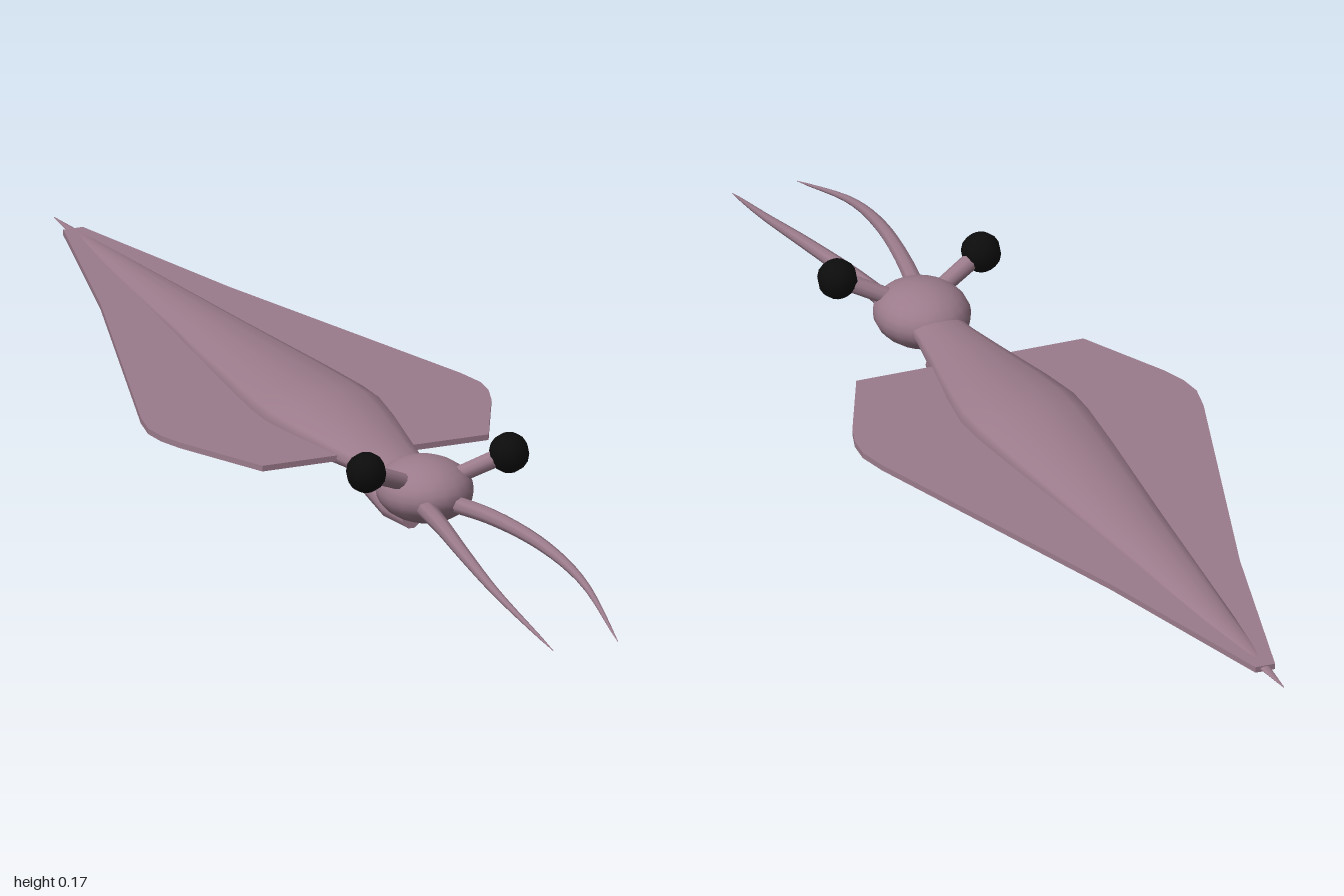
import * as THREE from 'three';

const skin = new THREE.MeshStandardMaterial({ color: 0x9b7b8b });
skin.name = 'mauveSkin';
const black = new THREE.MeshStandardMaterial({ color: 0x0c0c0c });
black.name = 'eyeBlack';

function add(parent, name, geometry, material) {
  const mesh = new THREE.Mesh(geometry, material);
  mesh.name = name;
  parent.add(mesh);
  return mesh;
}

// Skin over elliptical sections [x, y, z, rx, ry], listed from back to front, with closed ends
function loft(sections, sides) {
  const pos = [], index = [];
  const ring = ([x, y, z, rx, ry]) => {
    const start = pos.length / 3;
    for (let j = 0; j < sides; j++) {
      const a = (j / sides) * Math.PI * 2;
      pos.push(x + Math.cos(a) * rx, y + Math.sin(a) * ry, z);
    }
    return start;
  };
  const starts = sections.map(ring);
  for (let i = 0; i < starts.length - 1; i++) {
    for (let j = 0; j < sides; j++) {
      const k = (j + 1) % sides, p = starts[i], q = starts[i + 1];
      index.push(p + j, p + k, q + k, p + j, q + k, q + j);
    }
  }
  const back = ring(sections[0]), front = ring(sections[sections.length - 1]);
  for (let j = 1; j < sides - 1; j++) {
    index.push(back, back + j + 1, back + j, front, front + j, front + j + 1);
  }
  const g = new THREE.BufferGeometry();
  g.setAttribute('position', new THREE.Float32BufferAttribute(pos, 3));
  g.setIndex(index);
  g.computeVertexNormals();
  return g;
}

export function createModel() {
  const model = new THREE.Group();
  model.name = 'squid';
  const midY = 0.085;

  // Flattened mantle, widest in the middle and pointed at the tail
  const mantle = [[-0.995, 0.001], [-0.75, 0.025], [-0.4, 0.06], [-0.15, 0.087],
    [-0.04, 0.097], [0.02, 0.098], [0.1, 0.086], [0.22, 0.062], [0.3, 0.047], [0.35, 0.042]];
  add(model, 'mantle', loft(mantle.map(([z, r]) => [0, midY, z, r, r * 0.42]), 14), skin);

  // Flat fin plate running through the mantle
  const edge = [[0.185, 0.21], [0.255, 0.06], [0.268, 0.02], [0.272, -0.02],
    [0.262, -0.07], [0.105, -0.58], [0.016, -0.925]];
  const outline = [...edge, ...edge.slice().reverse().map(([x, z]) => [-x, z])];
  const finShape = new THREE.Shape(outline.map(([x, z]) => new THREE.Vector2(x, -z)));
  const fin = new THREE.ExtrudeGeometry(finShape, { depth: 0.009, bevelEnabled: false });
  fin.rotateX(-Math.PI / 2).translate(0, midY - 0.0045, 0);
  add(model, 'fins', fin, skin);

  // Head
  const head = add(model, 'head', new THREE.SphereGeometry(1, 20, 14), skin);
  head.scale.set(0.073, 0.049, 0.081);
  head.position.set(0, 0.086, 0.394);

  // Siphon under the neck
  add(model, 'siphon', loft([
    [0, 0.042, 0.14, 0.012, 0.01], [0, 0.031, 0.2, 0.019, 0.017],
    [0, 0.021, 0.28, 0.022, 0.019], [0, 0.023, 0.345, 0.015, 0.016],
  ], 10), skin);

  for (const side of [1, -1]) {
    const label = side > 0 ? 'left' : 'right';

    // Eye on a stalk
    const eyePos = new THREE.Vector3(side * 0.117, 0.142, 0.443);
    const root = new THREE.Vector3(side * 0.03, 0.103, 0.415);
    const dir = eyePos.clone().sub(root);
    const stalk = add(model, label + 'EyeStalk',
      new THREE.CylinderGeometry(0.014, 0.013, dir.length(), 10), skin);
    stalk.position.copy(root).addScaledVector(dir, 0.5);
    stalk.quaternion.setFromUnitVectors(new THREE.Vector3(0, 1, 0), dir.normalize());
    const eye = add(model, label + 'Eye', new THREE.SphereGeometry(0.031, 10, 8), black);
    eye.position.copy(eyePos);

    // Curved, tapering arm
    const path = new THREE.CatmullRomCurve3([
      [0.02, 0.074, 0.43], [0.044, 0.083, 0.56], [0.064, 0.079, 0.7],
      [0.07, 0.062, 0.83], [0.053, 0.023, 0.998],
    ].map(([x, y, z]) => new THREE.Vector3(side * x, y, z)));
    const arm = path.getPoints(18).map((p, i) => {
      const r = 0.0155 * Math.pow(1 - i / 18, 0.7) + 0.0005;
      return [p.x, p.y, p.z, r, r * 0.9];
    });
    add(model, label + 'Arm', loft(arm, 8), skin);
  }
  return model;
}
